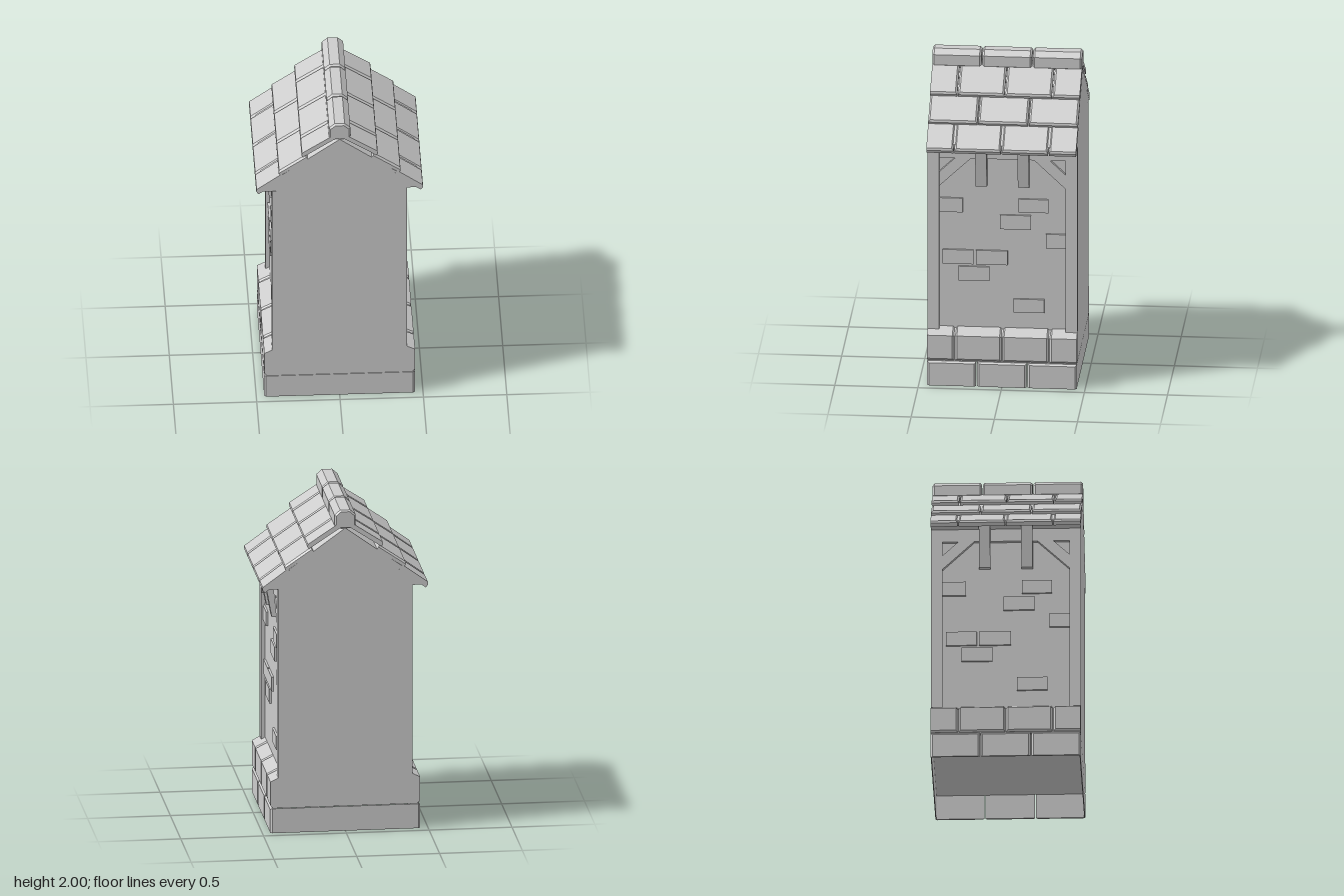
import * as THREE from 'three';
import { ConvexGeometry } from 'three/addons/geometries/ConvexGeometry.js';

const D = 0.45; // half depth of the section
const C = 0.011; // chamfer size

export function createModel() {
  const model = new THREE.Group();
  model.name = 'houseWallSection';
  const grey = new THREE.MeshStandardMaterial({ color: 0xcccccc });
  grey.name = 'plain grey';

  const add = (parent, name, geometry) => {
    const mesh = new THREE.Mesh(geometry, grey);
    mesh.name = name;
    parent.add(mesh);
    return mesh;
  };

  // Convex prism along z; each profile point is [x, y, inset at the ends]
  const prism = (profile, z0, z1, cut0 = false, cut1 = false) => {
    const pts = [];
    for (const [x, y, inset] of profile) {
      pts.push(new THREE.Vector3(x, y, z0 + (cut0 ? 0 : inset)));
      pts.push(new THREE.Vector3(x, y, z1 - (cut1 ? 0 : inset)));
    }
    return new ConvexGeometry(pts);
  };

  // Flat convex plate facing x, outline given as [z, y]
  const plate = (outline, x0, x1) =>
    new ConvexGeometry(outline.flatMap(([z, y]) => [new THREE.Vector3(x0, y, z), new THREE.Vector3(x1, y, z)]));
  const rect = (z0, z1, y0, y1) => [[z0, y0], [z1, y0], [z1, y1], [z0, y1]];

  // A row of prisms divided at the given z joints; flush rows have plain outer ends
  const row = (parent, name, profile, joints, flush) => {
    const stops = [-D, ...joints, D];
    for (let i = 0; i < stops.length - 1; i++) {
      const first = i === 0, last = i === stops.length - 2;
      add(parent, name, prism(profile,
        stops[i] + (first ? 0 : 0.003), stops[i + 1] - (last ? 0 : 0.003),
        flush && first, flush && last));
    }
  };

  const thirds = [-0.152, 0.152];
  const quarters = [-0.284, 0, 0.284];

  // Solid core: footing, walls, soffit and gable
  const half = [[0.44, 0.155], [0.44, 0.317], [0.38, 0.348], [0.38, 1.52], [0.468, 1.52], [0.468, 1.55]];
  const outline = [...half, [0, 1.89], ...half.map(([x, y]) => [-x, y]).reverse()];
  const shape = new THREE.Shape(outline.map(([x, y]) => new THREE.Vector2(x, y)));
  const core = new THREE.ExtrudeGeometry(shape, { depth: 2 * D - 0.002, bevelEnabled: false });
  core.translate(0, 0, -D + 0.001);
  add(model, 'wallCore', core);

  // Base skirt on front and back, open underneath
  for (const s of [-1, 1]) {
    add(model, 'baseEndPanel', new THREE.BoxGeometry(0.884, 0.152, 0.006)).position.set(0, 0.076, s * (D - 0.004));
  }

  // Roof tile profile: slab hanging down the slope from lower top corner (x, y)
  const tileProfile = (x, y, degrees, length, thick) => {
    const a = THREE.MathUtils.degToRad(degrees);
    const at = (u, v, inset) => [
      x - u * Math.cos(a) - v * Math.sin(a),
      y + u * Math.sin(a) - v * Math.cos(a), inset];
    return [at(C, 0, C), at(0, C, 0), at(0, thick, 0), at(length, 0, C), at(length, C, 0), at(length, thick, 0)];
  };

  const buildSide = () => {
    const side = new THREE.Group();

    // Two courses of base stones
    row(side, 'baseStone', [
      [0.44, 0, 0], [0.452 - C, 0, 0], [0.452, 0, C], [0.452, 0.155 - C, C],
      [0.452 - C, 0.155, 0], [0.44, 0.155, 0]], thirds, false);
    row(side, 'upperBaseStone', [
      [0.38, 0.162, 0], [0.452 - C, 0.162, 0], [0.452, 0.162 + C, C], [0.452, 0.32, C],
      [0.452 - C, 0.315, 0], [0.38, 0.357, C], [0.38, 0.345, 0]], quarters, true);

    // Timber frame: posts, top beam and diagonal braces
    for (const s of [-1, 1]) {
      add(side, 'cornerPost', plate(rect(s * 0.38, s * D, 0.345, 1.52), 0.37, 0.405));
      add(side, 'diagonalBrace', plate(
        [[s * 0.38, 1.26], [s * 0.19, 1.44], [s * 0.285, 1.44], [s * 0.38, 1.35]], 0.37, 0.402));
      // Wedge brackets under the eave
      const z = s * 0.127;
      add(side, 'eaveBracket', prism(
        [[0.37, 1.265, 0], [0.408, 1.265, 0], [0.455, 1.525, 0], [0.37, 1.525, 0]], z - 0.034, z + 0.034));
    }
    add(side, 'topBeam', plate(rect(-0.38, 0.38, 1.44, 1.52), 0.37, 0.402));

    // Exposed bricks on the wall panel
    const bricks = [
      [0.24, 0.38, 1.09, 1.18], [-0.275, -0.095, 1.10, 1.185], [-0.17, 0.015, 0.99, 1.08],
      [-0.38, -0.26, 0.875, 0.965], [0.175, 0.36, 0.76, 0.85], [-0.03, 0.16, 0.76, 0.85],
      [0.08, 0.265, 0.655, 0.745], [-0.25, -0.065, 0.46, 0.545]];
    for (const b of bricks) add(side, 'exposedBrick', plate(rect(...b), 0.37, 0.393));

    // Three overlapping rows of roof tiles
    row(side, 'lowerTile', tileProfile(0.507, 1.53, 36, 0.2, 0.035), quarters, true);
    row(side, 'middleTile', tileProfile(0.372, 1.66, 34.5, 0.2, 0.03), thirds, false);
    row(side, 'upperTile', tileProfile(0.235, 1.79, 33.5, 0.26, 0.028), quarters, true);
    return side;
  };

  const left = buildSide();
  left.name = 'leftSide';
  const right = buildSide();
  right.name = 'rightSide';
  right.rotation.y = Math.PI;
  model.add(left, right);

  // Ridge caps with tapered ends
  const ridgeHalf = [[0.04, 1.885], [0.064, 1.905], [0.064, 1.97], [0.03, 2.0]];
  const ridge = [];
  for (const s of [-1, 1]) {
    for (const [x, y] of ridgeHalf) {
      ridge.push([s * x, y, C]);
      ridge.push([s * x * 0.85, 1.94 + (y - 1.94) * 0.85, 0]);
    }
  }
  row(model, 'ridgeCap', ridge, thirds, false);

  return model;
}
